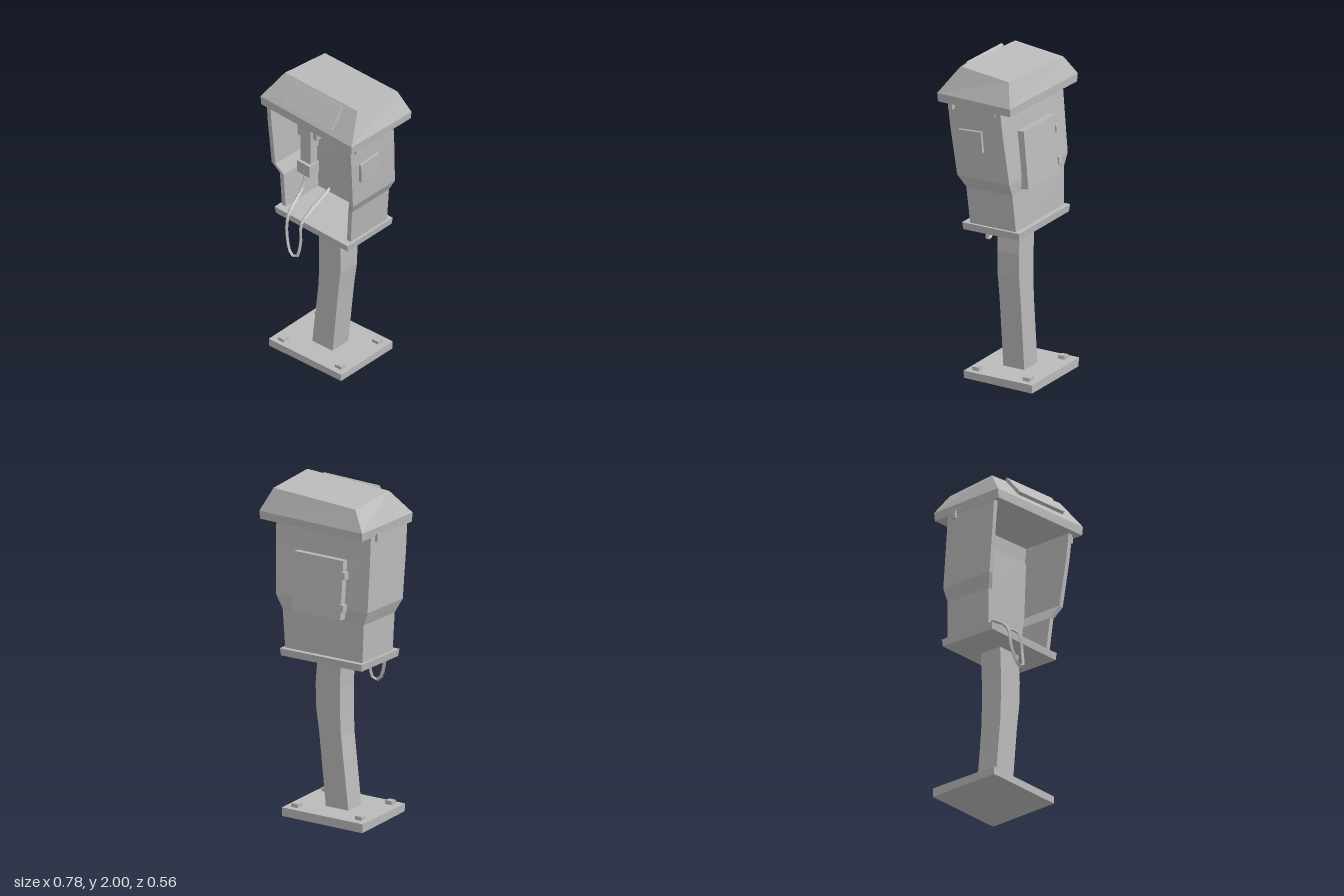
import * as THREE from 'three';

const grey = new THREE.MeshStandardMaterial({ color: 0xbababa, flatShading: true });
grey.name = 'plain grey';

// The whole booth twists gently as it rises
const yaw = y => 0.02 + 0.03 * y;

// Turn flat [x, z] offsets into a ring of points at one height
function ring(offsets, y, cx, cz, kx = 0, kz = 0) {
  const c = Math.cos(yaw(y)), s = Math.sin(yaw(y));
  return offsets.map(([u, w]) => {
    const x = cx + u * c - w * s, z = cz + u * s + w * c;
    return [x, y + kx * x + kz * z, z];
  });
}

const rect = (hx, hz) => [[-hx, hz], [hx, hz], [hx, -hz], [-hx, -hz]];

// Skin a stack of rings, listed from the bottom up
function loft(rings, capped) {
  const pos = [];
  const tri = (...pts) => pts.forEach(p => pos.push(...p));
  for (let i = 0; i + 1 < rings.length; i++) {
    const lo = rings[i], hi = rings[i + 1], n = lo.length;
    for (let j = 0; j < n; j++) {
      const k = (j + 1) % n;
      tri(lo[j], lo[k], hi[k]);
      tri(lo[j], hi[k], hi[j]);
    }
  }
  if (capped) {
    const b = rings[0], t = rings[rings.length - 1];
    tri(b[0], b[2], b[1]); tri(b[0], b[3], b[2]);
    tri(t[0], t[1], t[2]); tri(t[0], t[2], t[3]);
  }
  const geo = new THREE.BufferGeometry();
  geo.setAttribute('position', new THREE.Float32BufferAttribute(pos, 3));
  geo.computeVertexNormals();
  return geo;
}

export function createModel() {
  const model = new THREE.Group();
  model.name = 'payphone';

  const add = (name, geo) => {
    const mesh = new THREE.Mesh(geo, grey);
    mesh.name = name;
    model.add(mesh);
    return mesh;
  };
  // Sections are [y, centre x, centre z, half width, half depth, tilt x, tilt z]
  const block = (name, sections) => add(name, loft(
    sections.map(([y, cx, cz, hx, hz, kx, kz]) => ring(rect(hx, hz), y, cx, cz, kx, kz)), true));
  const box = (name, w, h, d, x, y, z, rx = 0, rz = 0) => {
    const mesh = add(name, new THREE.BoxGeometry(w, h, d));
    mesh.position.set(x, y, z);
    mesh.rotation.set(rx, -yaw(y), rz, 'YXZ');
    return mesh;
  };

  // Base plate with four bolts
  block('basePlate', [
    [0.017, -0.08, -0.048, 0.278, 0.227, 0.02, 0.035],
    [0.066, -0.08, -0.048, 0.28, 0.227, 0.015, 0.02],
  ]);
  for (const x of [-0.295, 0.14])
    for (const z of [0.125, -0.21])
      box('bolt', 0.045, 0.034, 0.045, x, 0.071 + 0.015 * x + 0.02 * z, z, 0.03, 0.03);

  // Bent post
  block('post', [
    [0.05, -0.08, -0.043, 0.078, 0.07],
    [0.3, -0.054, -0.043, 0.077, 0.07],
    [0.5, -0.033, -0.043, 0.076, 0.071],
    [0.65, -0.02, -0.043, 0.083, 0.072],
    [0.8, -0.018, -0.043, 0.085, 0.073],
    [0.98, -0.03, -0.043, 0.082, 0.074],
  ]);

  // Shelf under the hood
  block('shelf', [
    [0.966, -0.045, -0.033, 0.284, 0.188],
    [1.01, -0.045, -0.033, 0.29, 0.193],
  ]);

  // Open-fronted shell with thick walls
  const wall = 0.03;
  const shell = [
    [1.0, -0.045, -0.04, 0.272, 0.155],
    [1.24, -0.037, -0.03, 0.288, 0.157],
    [1.32, -0.033, -0.015, 0.325, 0.178],
    [1.62, -0.025, 0.015, 0.337, 0.18],
    [1.8, -0.022, 0.03, 0.34, 0.18],
  ].map(([y, cx, cz, a, d]) => {
    const i = a - wall, b = wall - d;
    return ring([[-a, d], [-i, d], [-i, b], [i, b], [i, d], [a, d], [a, -d], [-a, -d]], y, cx, cz);
  });
  add('shell', loft(shell, false));

  // Hipped roof with an upright rim
  block('roof', [
    [1.776, 0, 0, 0.365, 0.248, 0.012, 0],
    [1.828, 0, 0, 0.37, 0.25, 0.008, 0.01],
    [1.975, 0.01, -0.035, 0.295, 0.166, 0.035, 0.1],
  ]);
  box('signPlate', 0.395, 0.155, 0.02, -0.01, 1.922, 0.2, -0.69, 0.035);

  // Small brackets where shell and roof meet
  for (const x of [-0.35, 0.315])
    for (const z of [-0.1, 0.18])
      box('bracket', 0.04, 0.05, 0.03, x, 1.765, z + 0.06 * x);

  // Phone body on the inner back wall
  block('phoneBody', [
    [1.12, 0.0, -0.128, 0.2, 0.057],
    [1.3, 0.014, -0.118, 0.206, 0.055],
    [1.64, 0.016, -0.105, 0.208, 0.05],
  ]);

  // Handset, hook and cradle
  box('earpiece', 0.105, 0.08, 0.08, -0.238, 1.515, -0.038);
  box('handle', 0.08, 0.2, 0.055, -0.245, 1.38, -0.045);
  box('mouthpiece', 0.1, 0.08, 0.08, -0.245, 1.245, -0.038);
  box('hook', 0.028, 0.05, 0.06, -0.173, 1.502, -0.045);
  box('cradle', 0.06, 0.12, 0.1, -0.24, 1.44, -0.11);

  // Cord drooping over the shelf edge and back to the phone
  const cordPath = new THREE.CatmullRomCurve3([
    [-0.25, 1.22, -0.03], [-0.245, 1.12, 0.01], [-0.228, 1.03, 0.15],
    [-0.222, 0.99, 0.175], [-0.218, 0.9, 0.185], [-0.17, 0.782, 0.203],
    [-0.13, 0.782, 0.203], [-0.112, 0.88, 0.187], [-0.118, 1.0, 0.175],
    [-0.116, 1.03, 0.145], [-0.115, 1.13, -0.1],
  ].map(p => new THREE.Vector3(...p)));
  add('cord', new THREE.TubeGeometry(cordPath, 30, 0.011, 4));

  // Side plate on one flank
  box('sidePlate', 0.03, 0.13, 0.155, 0.308, 1.56, 0.072, 0.06, -0.03);

  // Rear service door with hinges
  box('serviceDoor', 0.35, 0.355, 0.05, -0.01, 1.435, -0.197, 0.09);
  for (const [y, z] of [[1.525, -0.214], [1.33, -0.232]])
    box('hinge', 0.035, 0.045, 0.04, -0.187, y, z, 0.09);

  return model;
}
